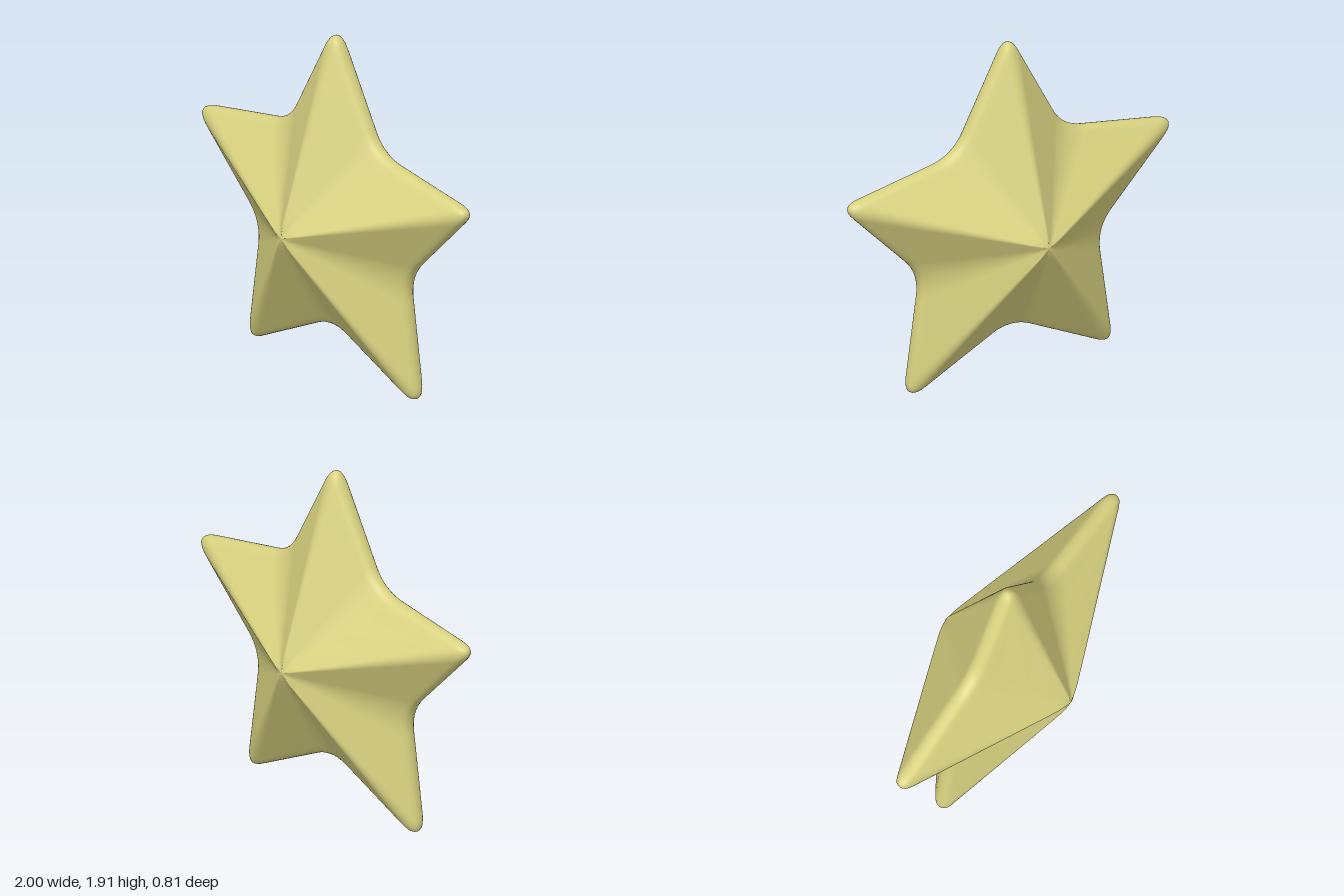
import * as THREE from 'three';

const ARMS = 5, OUTER = 1.1, INNER = 0.575;
const TIP_ROUND = 0.11, NOTCH_ROUND = 0.14, ROUND_STEPS = 10;

// Star outline, counter-clockwise, with every corner softened by a small curve
function starOutline() {
  const corners = [];
  for (let i = 0; i < ARMS * 2; i++) {
    const a = Math.PI / 2 + (i * Math.PI) / ARMS;
    const r = i % 2 ? INNER : OUTER;
    corners.push(new THREE.Vector2(Math.cos(a) * r, Math.sin(a) * r));
  }
  const n = corners.length, points = [];
  corners.forEach((c, i) => {
    const d = i % 2 ? NOTCH_ROUND : TIP_ROUND;
    const toward = (p) => p.clone().sub(c).setLength(d).add(c);
    const curve = new THREE.QuadraticBezierCurve(
      toward(corners[(i + n - 1) % n]), c, toward(corners[(i + 1) % n]));
    points.push(...curve.getPoints(ROUND_STEPS));
  });
  return points;
}

// Half thickness from the rim to the softened centre: [outline scale, z]
const HALF_PROFILE = [
  [1, 0], [0.998, 0.013], [0.99, 0.027], [0.975, 0.038], [0.95, 0.05], [0.9, 0.069],
  [0.7, 0.147], [0.514, 0.219], [0.35, 0.283], [0.2, 0.341], [0.14, 0.364],
  [0.09, 0.383], [0.05, 0.395], [0.02, 0.402],
];
const CENTRE_Z = 0.404;

function starGeometry() {
  const outline = starOutline(), n = outline.length;
  // Rings run from the back centre, over the rim, to the front centre
  const back = HALF_PROFILE.slice(1).reverse().map(([s, z]) => [s, -z]);
  const rings = [...back, ...HALF_PROFILE];
  const positions = [], index = [];
  for (const [s, z] of rings) for (const p of outline) positions.push(p.x * s, p.y * s, z);
  const backCentre = rings.length * n, frontCentre = backCentre + 1;
  positions.push(0, 0, -CENTRE_Z, 0, 0, CENTRE_Z);

  for (let j = 0; j < n; j++) {
    const k = (j + 1) % n, last = (rings.length - 1) * n;
    for (let i = 0; i < rings.length - 1; i++) {
      const a = i * n + j, b = i * n + k, c = a + n, d = b + n;
      index.push(a, b, d, a, d, c);
    }
    index.push(backCentre, k, j, frontCentre, last + j, last + k);
  }

  const geometry = new THREE.BufferGeometry();
  geometry.setAttribute('position', new THREE.Float32BufferAttribute(positions, 3));
  geometry.setIndex(index);
  geometry.computeVertexNormals();
  // Stand the two lower tips on the ground
  geometry.computeBoundingBox();
  geometry.translate(0, -geometry.boundingBox.min.y, 0);
  return geometry;
}

export function createModel() {
  const group = new THREE.Group();
  group.name = 'star';
  const gold = new THREE.MeshStandardMaterial({ color: 0xd8d280 });
  gold.name = 'pale gold';
  const body = new THREE.Mesh(starGeometry(), gold);
  body.name = 'starBody';
  group.add(body);
  return group;
}
